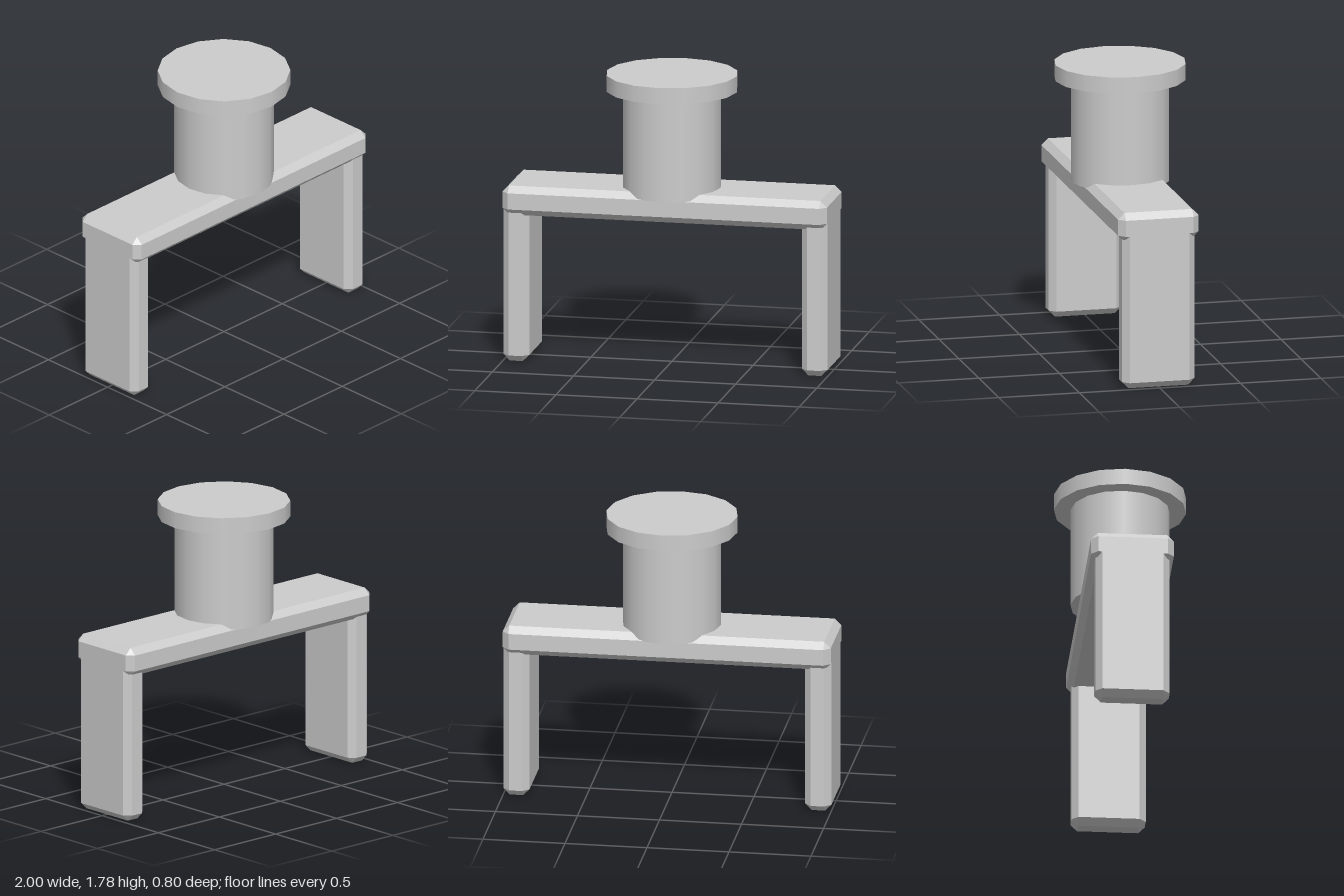
import * as THREE from 'three';
import { ConvexGeometry } from 'three/addons/geometries/ConvexGeometry.js';

const BEVEL = 0.04;

// Box with all edges chamfered, given full width, height and depth
function chamferedBox(w, h, d, bevel = BEVEL) {
  const points = [];
  for (const sx of [-1, 1]) for (const sy of [-1, 1]) for (const sz of [-1, 1]) {
    for (let outer = 0; outer < 3; outer++) {
      const p = [w, h, d].map((size, axis) => size / 2 - (axis === outer ? 0 : bevel));
      points.push(new THREE.Vector3(sx * p[0], sy * p[1], sz * p[2]));
    }
  }
  return new ConvexGeometry(points);
}

export function createModel() {
  const model = new THREE.Group();
  model.name = 'benchWithPost';

  const lightGrey = new THREE.MeshStandardMaterial({ color: 0xcccccc });
  lightGrey.name = 'lightGrey';

  const add = (name, geometry, x, y, z = 0) => {
    const mesh = new THREE.Mesh(geometry, lightGrey);
    mesh.name = name;
    mesh.position.set(x, y, z);
    model.add(mesh);
  };

  // Bench plank
  add('plank', chamferedBox(2, 0.18, 0.5), 0, 1.0);

  // End legs, flush with the plank ends and sunk into it
  for (const [name, side] of [['leftLeg', 1], ['rightLeg', -1]]) {
    add(name, chamferedBox(0.16, 1.0, 0.45), side * 0.92, 0.5);
  }

  // Round post overhanging the plank, with a wider cap
  add('post', new THREE.CylinderGeometry(0.3, 0.3, 0.635, 16), 0, 1.3725);
  add('cap', new THREE.CylinderGeometry(0.4, 0.4, 0.1, 16), 0, 1.735);

  return model;
}
